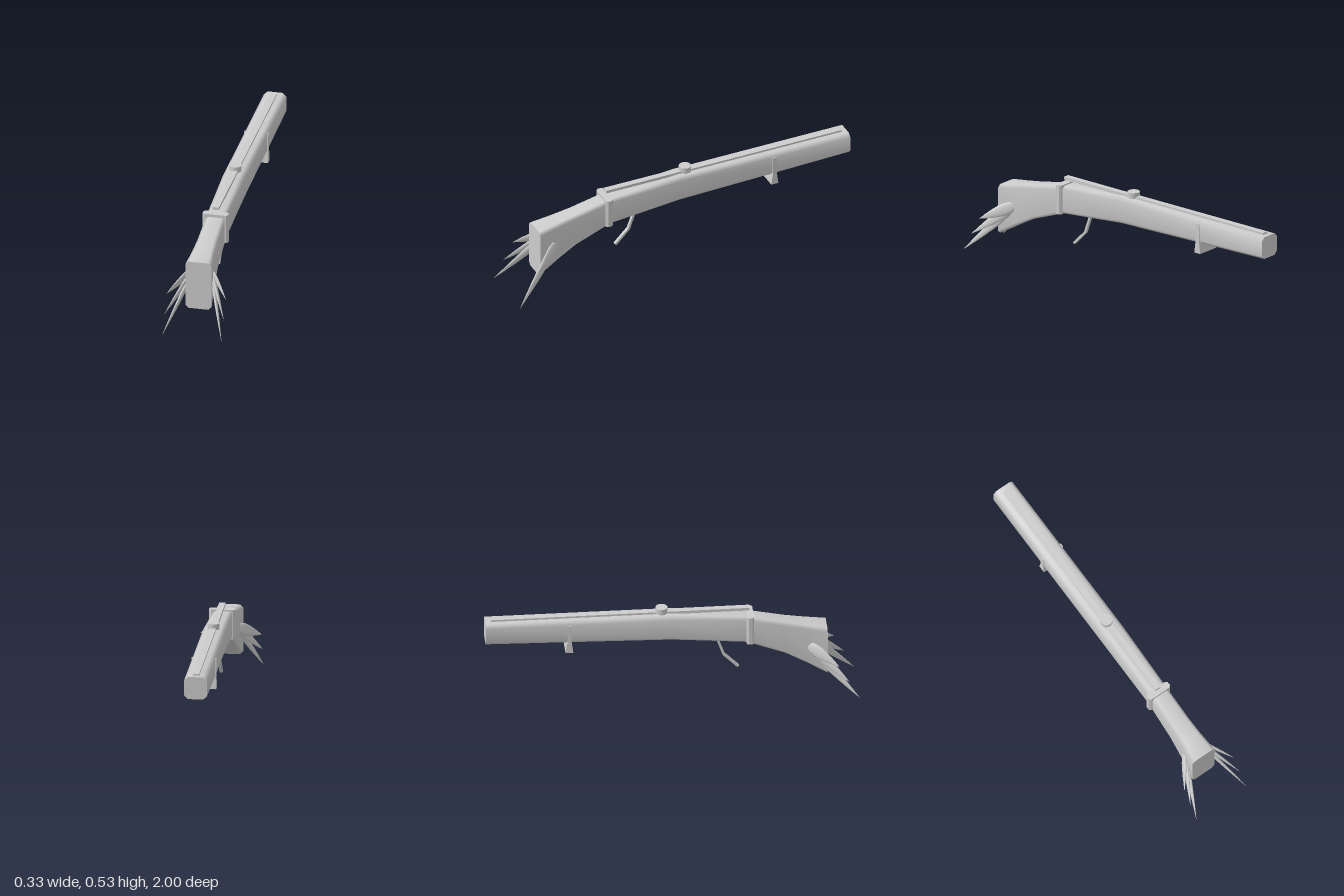
import * as THREE from 'three';

const grey = new THREE.MeshStandardMaterial({ color: 0xcccccc });
grey.name = 'grey';

function addPart(parent, name, geometry, x = 0, y = 0, z = 0) {
  const mesh = new THREE.Mesh(geometry, grey);
  mesh.name = name;
  mesh.position.set(x, y, z);
  parent.add(mesh);
  return mesh;
}

// Chamfered rectangle, counter-clockwise seen from +z
function ring([z, bottom, top, w, c]) {
  return [
    [w, bottom + c], [w, top - c], [w - c, top], [c - w, top],
    [-w, top - c], [-w, bottom + c], [c - w, bottom], [w - c, bottom],
  ].map(([x, y]) => [x, y, z]);
}

function loft(sections) {
  const rings = sections.map(ring);
  const n = rings[0].length;
  const positions = rings.flat(2);
  const index = [];
  for (let i = 0; i < rings.length - 1; i++) {
    for (let j = 0; j < n; j++) {
      const a = i * n + j, b = i * n + (j + 1) % n;
      index.push(a, b, b + n, a, b + n, a + n);
    }
  }
  // End caps have their own corners so their edges stay crisp
  const back = positions.length / 3;
  positions.push(...rings[0].flat(), ...rings[rings.length - 1].flat());
  for (let j = 1; j < n - 1; j++) {
    index.push(back, back + j + 1, back + j);
    index.push(back + n, back + n + j, back + n + j + 1);
  }
  const geo = new THREE.BufferGeometry();
  geo.setAttribute('position', new THREE.Float32BufferAttribute(positions, 3));
  geo.setIndex(index);
  geo.computeVertexNormals();
  return geo;
}

// Flattened spindle running from a base point to a pointed tip
function leaf(from, to, width, thickness) {
  const profile = [[0, 0], [0.55, 0.05], [0.85, 0.14], [1, 0.3], [0.9, 0.45], [0.66, 0.64], [0.34, 0.83], [0, 1]]
    .map(([r, t]) => new THREE.Vector2(r, t));
  const along = to.clone().sub(from);
  const dir = along.clone().normalize();
  const wide = new THREE.Vector3(1, 0, 0).cross(dir).normalize();
  const thin = wide.clone().cross(dir);
  const matrix = new THREE.Matrix4()
    .makeBasis(wide.multiplyScalar(width), along, thin.multiplyScalar(thickness))
    .setPosition(from);
  return new THREE.LatheGeometry(profile, 12).applyMatrix4(matrix);
}

export function createModel() {
  const model = new THREE.Group();
  model.name = 'longGun';

  // Stock and barrel in one piece: z, bottom, top, half width, chamfer
  addPart(model, 'body', loft([
    [-1, 0.374, 0.497, 0.062, 0.02],
    [0, 0.347, 0.496, 0.06, 0.02],
    [0.405, 0.308, 0.464, 0.053, 0.016],
    [0.61, 0.23, 0.42, 0.055, 0.016],
    [0.72, 0.17, 0.4, 0.061, 0.017],
    [0.835, 0.103, 0.38, 0.072, 0.018],
  ]));

  // Rail along the top with a round knob
  addPart(model, 'topRail', new THREE.BoxGeometry(0.034, 0.016, 1.39), 0, 0.499, -0.275);
  addPart(model, 'knob', new THREE.CylinderGeometry(0.033, 0.033, 0.035, 24), 0, 0.511, -0.052);

  // Collar: flat plate with chamfered upright edges
  const collar = new THREE.Shape([
    [0.07, -0.01], [0.07, 0.01], [0.06, 0.02], [-0.06, 0.02],
    [-0.07, 0.01], [-0.07, -0.01], [-0.06, -0.02], [0.06, -0.02],
  ].map(([x, y]) => new THREE.Vector2(x, y)));
  const collarGeo = new THREE.ExtrudeGeometry(collar, { depth: 0.163, bevelEnabled: false });
  collarGeo.rotateX(-Math.PI / 2);
  addPart(model, 'collar', collarGeo, 0, 0.309, 0.421);

  // Barrel clip: side strips above a flared foot
  addPart(model, 'barrelClip', new THREE.BoxGeometry(0.134, 0.12, 0.022), 0, 0.416, -0.552);
  const foot = new THREE.Shape([
    [-0.021, 0.31], [0.021, 0.31], [0.013, 0.368], [-0.013, 0.368],
  ].map(([x, y]) => new THREE.Vector2(x, y)));
  const footGeo = new THREE.ExtrudeGeometry(foot, { depth: 0.134, bevelEnabled: false });
  footGeo.translate(0, 0, -0.067).rotateY(-Math.PI / 2);
  addPart(model, 'clipFoot', footGeo, 0, 0, -0.552);

  // Bent trigger; shape x runs along z
  const trigger = new THREE.Shape([
    [0.235, 0.335], [0.247, 0.335], [0.287, 0.223], [0.365, 0.145],
    [0.356, 0.136], [0.276, 0.217],
  ].map(([x, y]) => new THREE.Vector2(x, y)));
  const triggerGeo = new THREE.ExtrudeGeometry(trigger, { depth: 0.018, bevelEnabled: false });
  triggerGeo.translate(0, 0, -0.009).rotateY(-Math.PI / 2);
  addPart(model, 'trigger', triggerGeo);

  // Three feathers fanning out from each side of the butt
  const feathers = [
    { base: [0.05, 0.285, 0.725], tip: [0.165, 0.2, 0.89], width: 0.034 },
    { base: [0.05, 0.28, 0.73], tip: [0.165, 0.102, 0.945], width: 0.028 },
    { base: [0.05, 0.275, 0.735], tip: [0.165, 0, 1], width: 0.024 },
  ];
  for (const side of [1, -1]) {
    const fan = new THREE.Group();
    fan.name = side > 0 ? 'leftFeathers' : 'rightFeathers';
    for (const { base, tip, width } of feathers) {
      const mirror = ([x, y, z]) => new THREE.Vector3(x * side, y, z);
      addPart(fan, 'feather', leaf(mirror(base), mirror(tip), width, 0.01));
    }
    model.add(fan);
  }
  return model;
}
